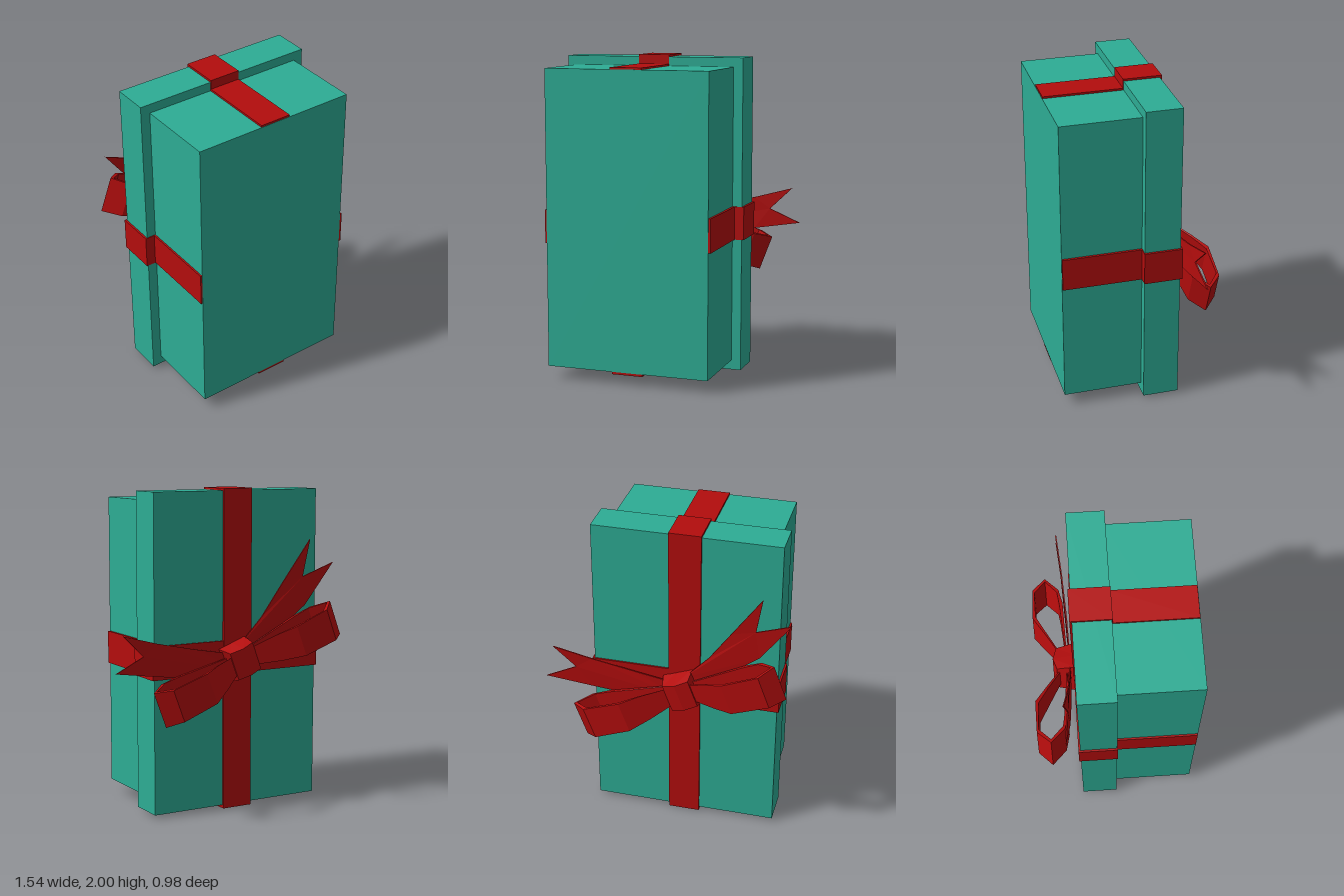
import * as THREE from 'three';

export function createModel() {
  const teal = new THREE.MeshStandardMaterial({ name: 'teal paper', color: 0x2dac94, flatShading: true });
  const red = new THREE.MeshStandardMaterial({ name: 'red ribbon', color: 0xb30d0d, flatShading: true, side: THREE.DoubleSide });
  const model = new THREE.Group();
  model.name = 'giftBox';

  const add = (name, geometry, material, parent = model) => {
    const mesh = new THREE.Mesh(geometry, material);
    mesh.name = name;
    parent.add(mesh);
    return mesh;
  };
  // Box given by its limits on each axis
  const block = (name, material, [x0, x1], [y0, y1], [z0, z1]) =>
    add(name, new THREE.BoxGeometry(x1 - x0, y1 - y0, z1 - z0)
      .translate((x0 + x1) / 2, (y0 + y1) / 2, (z0 + z1) / 2), material);

  // Box lying on its side, with the lid at the back
  block('boxBody', teal, [-0.625, 0.415], [0.08, 1.93], [-0.01, 0.5]);
  block('lid', teal, [-0.685, 0.475], [0.02, 1.987], [-0.226, 0]);

  // Flat ribbons wrapped round the body and the lid
  const bandX = [-0.202, -0.003], bandY = [0.858, 1.066];
  block('bodyRibbonVertical', red, bandX, [0.065, 1.942], [0, 0.498]);
  block('bodyRibbonHorizontal', red, [-0.636, 0.43], bandY, [0, 0.498]);
  block('lidRibbonVertical', red, bandX, [0, 2], [-0.239, 0.004]);
  block('lidRibbonHorizontal', red, [-0.697, 0.489], bandY, [-0.237, 0.004]);

  // Bow, tilted on the lid
  const bow = new THREE.Group();
  bow.name = 'bow';
  bow.position.set(-0.1, 0.945, 0);
  bow.rotation.z = -0.36;
  model.add(bow);

  // Loop cross-sections: distance along, depth, half width
  const path = [
    [0.03, -0.30, 0.05], [0.21, -0.405, 0.085], [0.34, -0.482, 0.1], [0.58, -0.478, 0.105],
    [0.67, -0.395, 0.115], [0.57, -0.308, 0.11], [0.46, -0.285, 0.1], [0.05, -0.275, 0.05],
  ];
  const centre = new THREE.Vector2(0.42, -0.385);
  const verts = [], index = [];
  path.forEach(([u, z, w], i) => {
    const outer = new THREE.Vector2(u, z);
    const inner = centre.clone().sub(outer).setLength(0.024).add(outer);
    verts.push(outer.x, w, outer.y, outer.x, -w, outer.y, inner.x, -w, inner.y, inner.x, w, inner.y);
    if (i === path.length - 1) return;
    for (let k = 0; k < 4; k++) {
      const a = i * 4 + k, b = i * 4 + (k + 1) % 4;
      index.push(a, a + 4, b + 4, a, b + 4, b);
    }
  });
  const loopGeometry = new THREE.BufferGeometry();
  loopGeometry.setAttribute('position', new THREE.Float32BufferAttribute(verts, 3));
  loopGeometry.setIndex(index);
  const loop = loopGeometry.toNonIndexed();
  loop.computeVertexNormals();
  add('leftLoop', loop, red, bow);
  add('rightLoop', loop, red, bow).rotation.z = Math.PI;

  // Knot: a faceted block pinched at the outer face
  const knot = new THREE.BoxGeometry(0.2, 0.23, 0.13, 2, 2, 1);
  const kp = knot.attributes.position;
  for (let i = 0; i < kp.count; i++) {
    const x = kp.getX(i), y = kp.getY(i), z = kp.getZ(i);
    if (z < 0) kp.setXYZ(i, x * 0.85, y * 0.78, z + (x === 0 ? -0.012 : 0.012));
  }
  knot.translate(0, 0, -0.288);
  const knotFlat = knot.toNonIndexed();
  knotFlat.computeVertexNormals();
  add('knot', knotFlat, red, bow);

  // Swallow-tailed ribbon ends, curling away from the lid
  const tail = (name, points) => {
    const shape = new THREE.Shape(points.map(([x, y]) => new THREE.Vector2(x, y)));
    const g = new THREE.ExtrudeGeometry(shape, { depth: 0.008, bevelEnabled: false });
    const p = g.attributes.position;
    for (let i = 0; i < p.count; i++) {
      const d2 = (p.getX(i) + 0.1) ** 2 + (p.getY(i) - 0.945) ** 2;
      p.setZ(i, p.getZ(i) - 0.262 - 0.06 * d2);
    }
    g.computeVertexNormals();
    add(name, g, red);
  };
  tail('leftTail', [[-0.08, 0.88], [0.25, 0.86], [0.48, 0.89], [0.77, 0.935], [0.58, 1.02],
    [0.72, 1.155], [0.48, 1.09], [0.2, 1.03], [-0.08, 0.98]]);
  tail('rightTail', [[-0.1, 1.03], [-0.26, 1.2], [-0.4, 1.4], [-0.59, 1.675], [-0.55, 1.44],
    [-0.765, 1.522], [-0.575, 1.26], [-0.36, 1.09], [-0.16, 0.95]]);

  return model;
}
